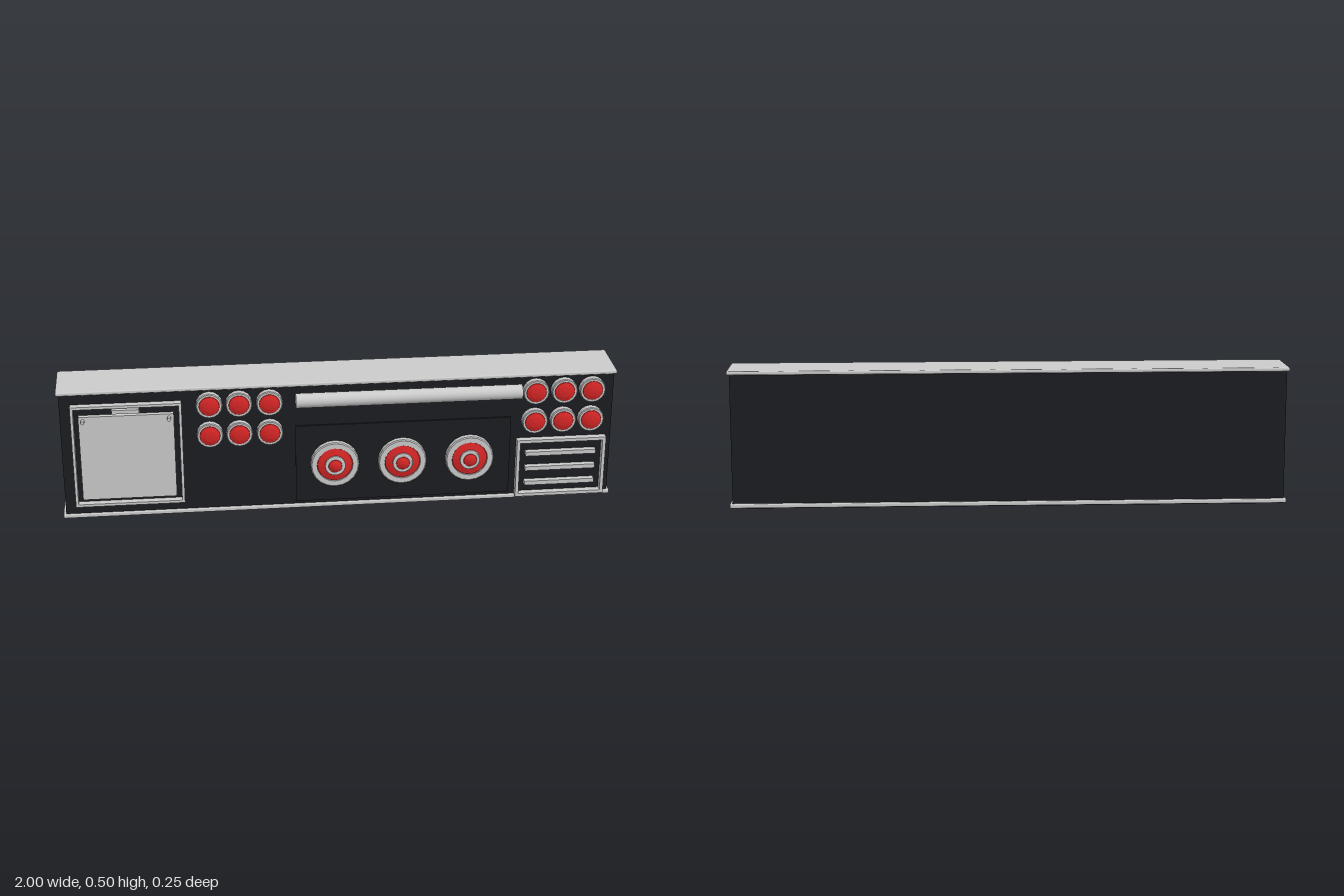
import * as THREE from 'three';
import { RoundedBoxGeometry } from 'three/addons/geometries/RoundedBoxGeometry.js';

export function createModel() {
  const model = new THREE.Group();
  const grey = new THREE.MeshStandardMaterial({ color: 0xcccccc });
  const facetGrey = new THREE.MeshStandardMaterial({ color: 0xcccccc, flatShading: true });
  const black = new THREE.MeshStandardMaterial({ color: 0x1c1d21 });
  const red = new THREE.MeshStandardMaterial({ color: 0xd82626, flatShading: true });
  const FRONT = 0.068;

  function add(name, geometry, material, x = 0, y = 0, z = 0, parent = model) {
    const mesh = new THREE.Mesh(geometry, material);
    mesh.name = name;
    mesh.position.set(x, y, z);
    parent.add(mesh);
    return mesh;
  }

  // Box given by its extents
  function block(name, material, x0, x1, y0, y1, z0, z1) {
    return add(name, new THREE.BoxGeometry(x1 - x0, y1 - y0, z1 - z0), material,
      (x0 + x1) / 2, (y0 + y1) / 2, (z0 + z1) / 2);
  }

  // Rectangular frame, open in the middle
  function frame(name, x0, x1, y0, y1, width, depth) {
    const rect = (C, i) => new C([
      new THREE.Vector2(x0 + i, y0 + i), new THREE.Vector2(x1 - i, y0 + i),
      new THREE.Vector2(x1 - i, y1 - i), new THREE.Vector2(x0 + i, y1 - i)]);
    const shape = rect(THREE.Shape, 0);
    shape.holes.push(rect(THREE.Path, width));
    return add(name, new THREE.ExtrudeGeometry(shape, { depth, bevelEnabled: false }), grey, 0, 0, FRONT);
  }

  // Solid turned around the z axis from [radius, depth] pairs, back to front
  function turned(name, profile, sides, material, parent) {
    const geometry = new THREE.LatheGeometry(profile.map(p => new THREE.Vector2(...p)), sides);
    geometry.rotateX(Math.PI / 2);
    return add(name, geometry, material, 0, 0, 0, parent);
  }

  // Cabinet with a trim slab above and below
  block('cabinet', black, -0.99, 0.99, 0.001, 0.494, -0.114, FRONT);
  add('topTrim', new RoundedBoxGeometry(2, 0.014, 0.198, 2, 0.005), grey, 0, 0.49, -0.024);
  add('bottomTrim', new RoundedBoxGeometry(2, 0.016, 0.198, 2, 0.005), grey, 0, 0.01, -0.024);
  block('bottomPanel', black, -0.99, 0.99, 0, 0.004, -0.114, 0.066);

  // Square door with frame, handle and two screws
  frame('doorFrame', -0.952, -0.562, 0.055, 0.447, 0.01, 0.025);
  block('doorPanel', grey, -0.925, -0.59, 0.08, 0.405, FRONT, 0.085);
  block('doorHandle', grey, -0.807, -0.71, 0.418, 0.432, FRONT, 0.098);
  for (const x of [-0.91, -0.607]) {
    const screw = add('doorScrew', new THREE.CylinderGeometry(0.007, 0.007, 0.02, 8), grey, x, 0.39, 0.093);
    screw.rotation.x = Math.PI / 2;
  }

  // Two banks of round buttons
  for (const x of [-0.465, -0.36, -0.252, 0.705, 0.808, 0.91]) {
    for (const y of [0.43, 0.315]) {
      const button = new THREE.Group();
      button.name = 'button';
      button.position.set(x, y, FRONT);
      model.add(button);
      turned('buttonRing', [[0.047, 0], [0.047, 0.021], [0.044, 0.024], [0.037, 0.024], [0.037, 0.018]], 16, facetGrey, button);
      turned('buttonCap', [[0.037, 0.019], [0.036, 0.025], [0.02, 0.03], [0, 0.032]], 16, red, button);
    }
  }

  // Round handrail
  const rail = add('rail', new THREE.CylinderGeometry(0.0265, 0.0265, 0.81, 24), grey, 0.245, 0.44, 0.097);
  rail.rotation.z = Math.PI / 2;

  // Raised panel with three stepped dials
  block('dialPanel', black, -0.16, 0.62, 0.03, 0.33, FRONT, 0.074);
  for (const x of [-0.02, 0.225, 0.47]) {
    const dial = new THREE.Group();
    dial.name = 'dial';
    dial.position.set(x, 0.18, 0.072);
    model.add(dial);
    turned('dialRing', [[0.088, 0], [0.088, 0.02], [0.084, 0.023], [0.065, 0.023], [0.065, 0.014]], 20, facetGrey, dial);
    turned('dialFace', [[0.065, 0.016], [0.063, 0.019], [0.036, 0.025]], 20, red, dial);
    turned('dialHub', [[0.037, 0.015], [0.037, 0.032], [0.034, 0.034], [0.025, 0.034], [0.025, 0.028]], 20, facetGrey, dial);
    turned('dialCap', [[0.025, 0.03], [0.024, 0.035], [0.012, 0.04], [0, 0.042]], 20, red, dial);
  }

  // Vent with three slats
  frame('ventFrame', 0.643, 0.97, 0.016, 0.243, 0.012, 0.025);
  for (const y of [0.185, 0.126, 0.067]) {
    block('ventSlat', grey, 0.677, 0.935, y - 0.008, y + 0.008, FRONT, 0.089);
  }
  return model;
}
